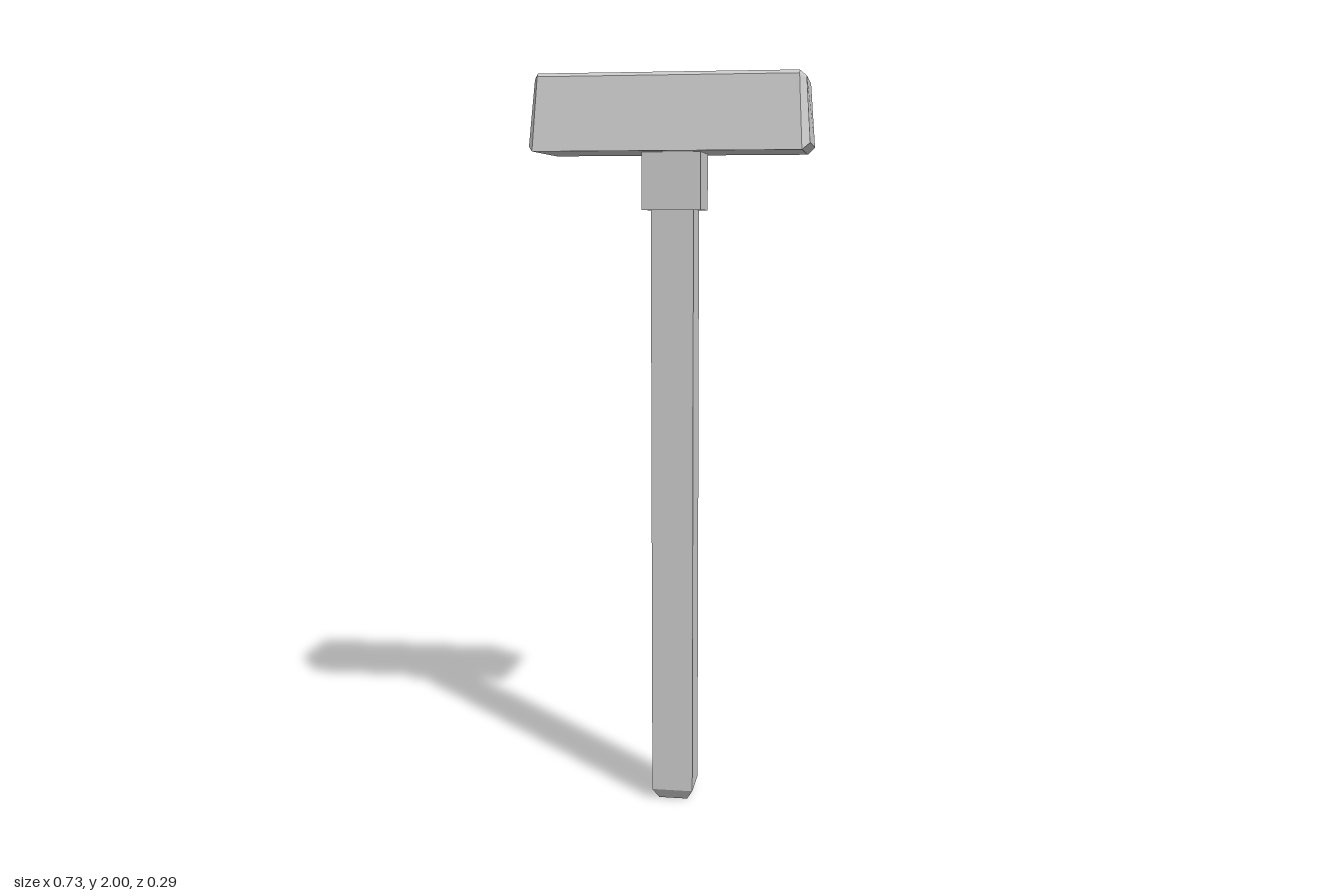
import * as THREE from 'three';

const material = new THREE.MeshStandardMaterial({ color: 0xcccccc, flatShading: true });

// Square prism with its own half widths at the top and bottom
function squarePrism(name, topHalf, bottomHalf, y0, y1, openTop = false) {
  const geometry = new THREE.CylinderGeometry(topHalf * Math.SQRT2, bottomHalf * Math.SQRT2, y1 - y0, 4, 1, openTop);
  geometry.rotateY(Math.PI / 4);
  const mesh = new THREE.Mesh(geometry.toNonIndexed(), material);
  mesh.geometry.computeVertexNormals();
  mesh.position.y = (y0 + y1) / 2;
  mesh.name = name;
  return mesh;
}

// Cross-section of the head: wide base, sloping sides and a narrow bevel along the top.
// The x position shifts from base to top so that the ends lean inwards.
function section(xBase, xTop, yBase, yTop, zBase, zTop, bevel) {
  const half = [[xBase, yBase, zBase], [xTop, yTop - bevel, zTop], [xTop, yTop, zTop - bevel]];
  return [
    ...half.map(([x, y, z]) => [x, y, -z]),
    ...half.reverse().map(([x, y, z]) => [x, y, z]),
  ];
}

// Closed solid through sections ordered along +x
function loft(sections) {
  const positions = [];
  const tri = (a, b, c) => positions.push(...a, ...b, ...c);
  const n = sections[0].length;
  for (let i = 0; i < sections.length - 1; i++) {
    for (let k = 0; k < n; k++) {
      const a = sections[i][k], b = sections[i][(k + 1) % n];
      const c = sections[i + 1][(k + 1) % n], d = sections[i + 1][k];
      tri(a, b, c);
      tri(a, c, d);
    }
  }
  const first = sections[0], last = sections[sections.length - 1];
  for (let k = 1; k < n - 1; k++) {
    tri(first[0], first[k + 1], first[k]);
    tri(last[0], last[k], last[k + 1]);
  }
  const geometry = new THREE.BufferGeometry();
  geometry.setAttribute('position', new THREE.Float32BufferAttribute(positions, 3));
  geometry.computeVertexNormals();
  return geometry;
}

export function createModel() {
  const model = new THREE.Group();
  model.name = 'hammer';

  // Square handle with a tapered butt
  const handle = new THREE.Group();
  handle.name = 'handle';
  handle.add(squarePrism('shaft', 0.057, 0.057, 0.03, 1.66, true));
  handle.add(squarePrism('buttTaper', 0.057, 0.04, 0, 0.03));
  model.add(handle);

  // Collar joining handle and head
  model.add(squarePrism('collar', 0.078, 0.078, 1.65, 1.805));

  // Tapered head with chamfered ends
  const head = new THREE.Mesh(loft([
    section(-0.367, -0.354, 1.813, 1.988, 0.13, 0.107, 0.006),
    section(-0.356, -0.345, 1.8, 2, 0.143, 0.118, 0.009),
    section(0.345, 0.335, 1.8, 2, 0.143, 0.118, 0.009),
    section(0.365, 0.353, 1.818, 1.985, 0.127, 0.106, 0.006),
  ]), material);
  head.name = 'head';
  model.add(head);

  return model;
}
